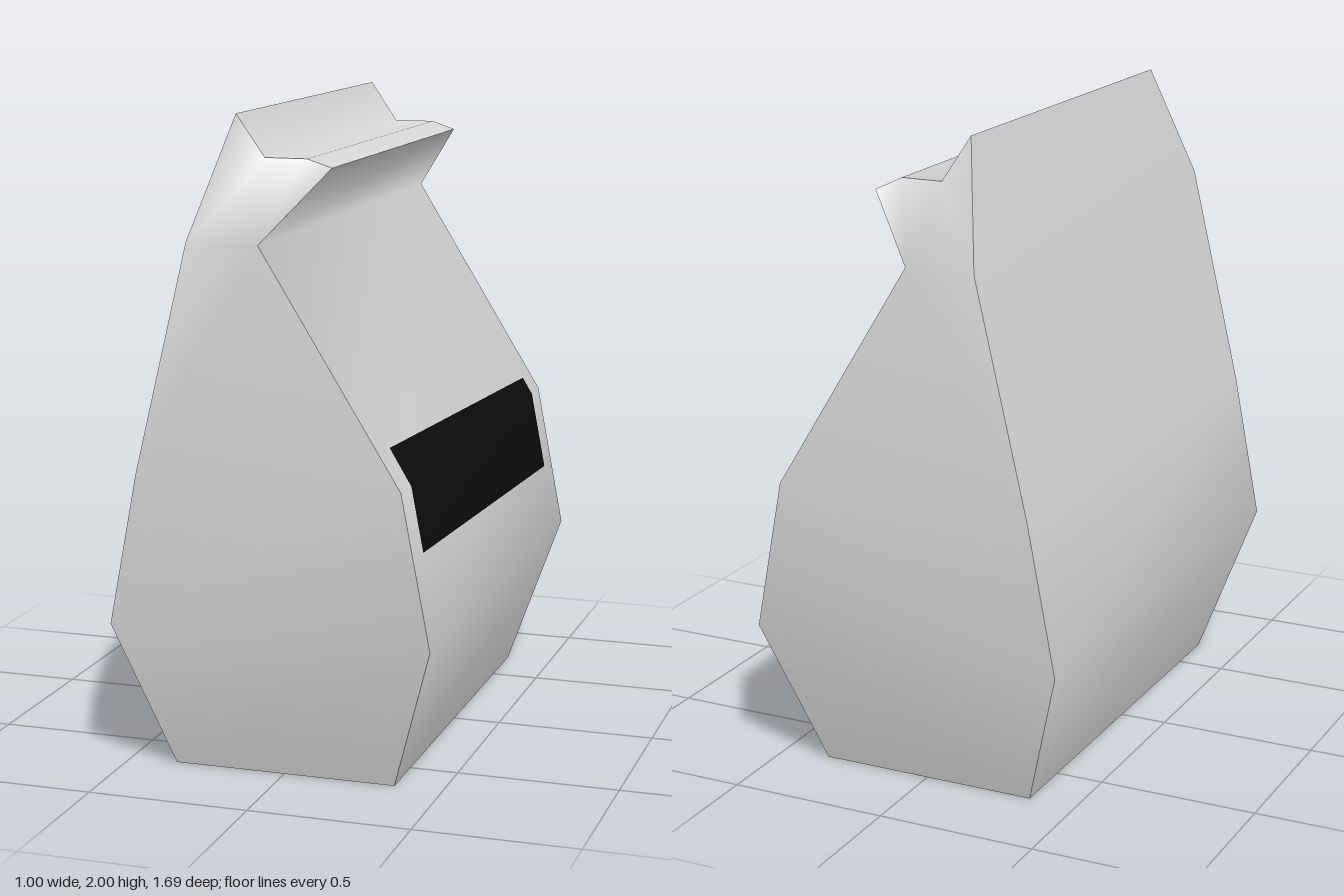
import * as THREE from 'three';

// Bag outline, clockwise seen from the front: [x, y, front z, back z]
const OUTLINE = [
  [-0.35, 0, 0.67, -0.70],
  [-0.50, 0.47, 0.815, -0.845],
  [-0.41, 0.94, 0.815, -0.845],
  [-0.23, 1.64, 0.845, -0.815],
  [-0.13, 2.00, 0.69, -0.63],
  [-0.06, 1.87, 0.64, -0.68],
  [0.07, 1.87, 0.64, -0.68],
  [0.13, 1.84, 0.59, -0.73],
  [-0.01, 1.64, 0.845, -0.815],
  [0.41, 0.94, 0.815, -0.845],
  [0.50, 0.47, 0.815, -0.845],
  [0.35, 0, 0.67, -0.70],
];

function makeMesh(name, points, index, material) {
  const geometry = new THREE.BufferGeometry();
  geometry.setAttribute('position', new THREE.Float32BufferAttribute(points.flat(), 3));
  geometry.setIndex(index);
  geometry.computeVertexNormals();
  const mesh = new THREE.Mesh(geometry, material);
  mesh.name = name;
  return mesh;
}

// Smooth panel running front to back along a run of [x, y, front z, back z] rows
function panel(name, rows, material) {
  const points = rows.flatMap(([x, y, f, b]) => [[x, y, f], [x, y, b]]);
  const index = [];
  for (let i = 0; i < rows.length - 1; i++) {
    const f = 2 * i, b = f + 1;
    index.push(b, f, f + 2, b, f + 2, b + 2);
  }
  return makeMesh(name, points, index, material);
}

// End wall: stacked quads below, folded triangles at the rolled top
function endWall(name, front, material) {
  const points = OUTLINE.map(([x, y, f, b]) => [x, y, front ? f : b]);
  const faces = [[3, 4, 5], [3, 5, 8], [5, 6, 8], [6, 7, 8]];
  for (let i = 0; i < 3; i++) {
    faces.push([i, i + 1, 10 - i], [i, 10 - i, 11 - i]);
  }
  const index = faces.flatMap(([a, b, c]) => (front ? [a, c, b] : [a, b, c]));
  return makeMesh(name, points, index, material);
}

export function createModel() {
  const paper = new THREE.MeshStandardMaterial({ color: 0xd8d8d8 });
  paper.name = 'bagGrey';
  const black = new THREE.MeshStandardMaterial({ color: 0x0d0d0d });
  black.name = 'labelBlack';

  const model = new THREE.Group();
  model.name = 'foldedBag';
  model.add(
    panel('rightSide', OUTLINE.slice(0, 5), paper),
    panel('topFold', OUTLINE.slice(4, 8), paper),
    panel('leftSide', OUTLINE.slice(7, 12), paper),
    panel('base', [OUTLINE[11], OUTLINE[0]], paper),
    endWall('frontWall', true, paper),
    endWall('backWall', false, paper),
  );

  // Slightly tilted label that bends over the crease at y = 0.94
  const wallX = (y) => (y > 0.94 ? 0.41 - (y - 0.94) * 0.6 : 0.41 + (0.94 - y) * 0.19) + 0.006;
  const points = [];
  for (const [yf, yb] of [[1.05, 0.995], [0.94, 0.94], [0.745, 0.69]]) {
    points.push([wallX(yf), yf, 0.728], [wallX(yb), yb, -0.728]);
  }
  model.add(makeMesh('label', points, [1, 0, 2, 1, 2, 3, 3, 2, 4, 3, 4, 5], black));
  return model;
}
